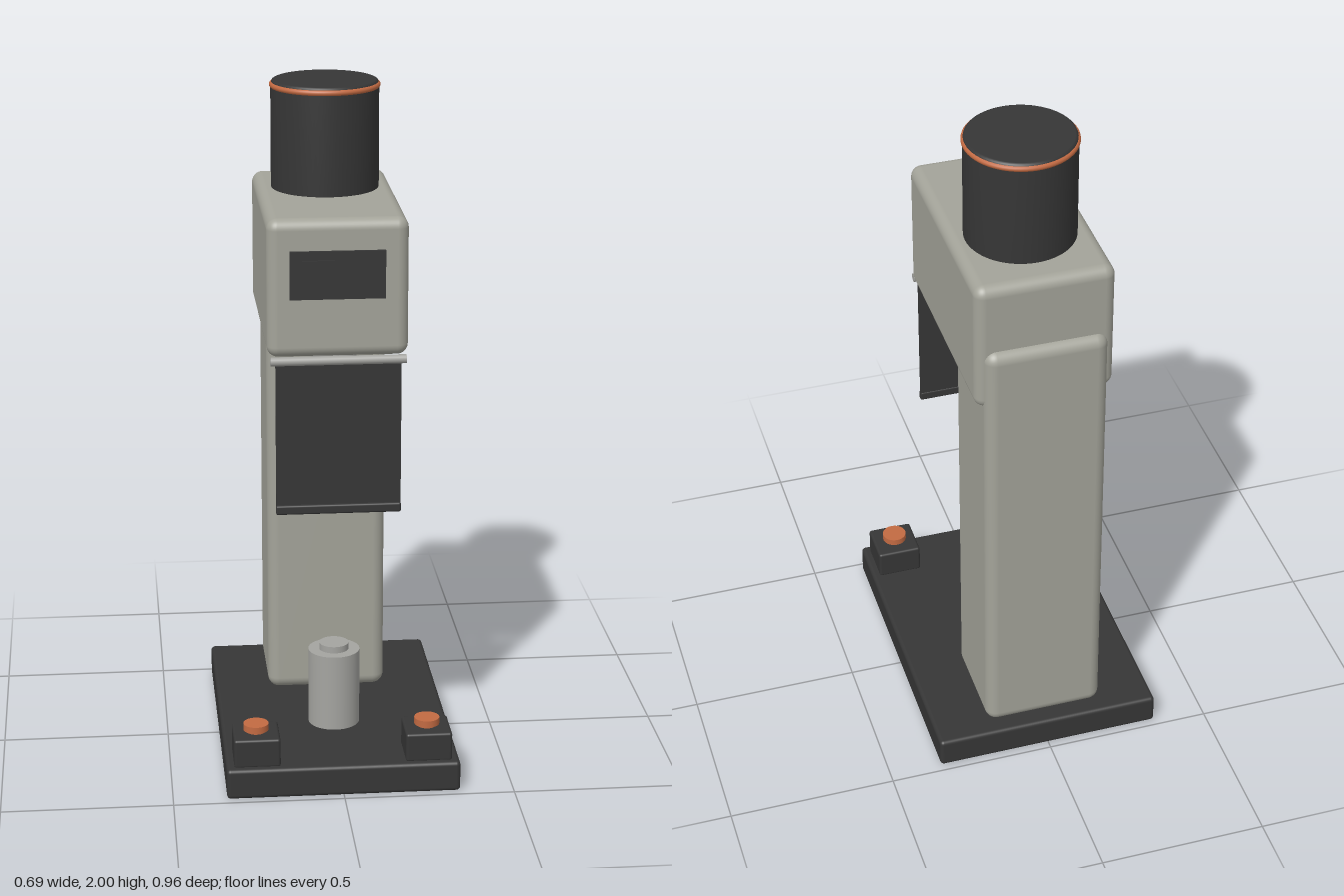
import * as THREE from 'three';
import { RoundedBoxGeometry } from 'three/addons/geometries/RoundedBoxGeometry.js';

export function createModel() {
  const model = new THREE.Group();
  model.name = 'benchPress';

  const mat = (name, color) => {
    const m = new THREE.MeshStandardMaterial({ color });
    m.name = name;
    return m;
  };
  const body = mat('warmGrey', 0xa3a399);
  const metal = mat('steelGrey', 0xa4a4a0);
  const dark = mat('charcoal', 0x363636);
  const orange = mat('copperOrange', 0xc26a42);

  const add = (name, geometry, material, x, y, z) => {
    const mesh = new THREE.Mesh(geometry, material);
    mesh.name = name;
    mesh.position.set(x, y, z);
    model.add(mesh);
    return mesh;
  };
  // Rounded box given by its lower and upper corners
  const box = (name, material, a, b, r) => add(name,
    new RoundedBoxGeometry(b[0] - a[0], b[1] - a[1], b[2] - a[2], 5, r), material,
    (a[0] + b[0]) / 2, (a[1] + b[1]) / 2, (a[2] + b[2]) / 2);
  // Upright cylinder or cone between two heights
  const post = (name, material, rTop, rBottom, y0, y1, x, z) => add(name,
    new THREE.CylinderGeometry(rTop, rBottom, y1 - y0, 48), material, x, (y0 + y1) / 2, z);
  // Horizontal rod along x
  const rod = (name, material, r, length, y, z) => {
    const g = new THREE.CylinderGeometry(r, r, length, 20).rotateZ(Math.PI / 2);
    return add(name, g, material, 0, y, z);
  };

  // Frame
  box('base', dark, [-0.343, 0, -0.48], [0.343, 0.092, 0.48], 0.012);
  box('column', body, [-0.18, 0.088, -0.435], [0.18, 1.47, -0.115], 0.035);
  box('head', body, [-0.203, 1.275, -0.41], [0.203, 1.68, 0.275], 0.032);

  // Motor housing with softened edges and a coloured trim ring
  const motorZ = -0.163;
  const profile = [[0, 1.675], [0.155, 1.675], [0.16, 1.682], [0.16, 1.988], [0.156, 1.997], [0.15, 2], [0, 2]]
    .map(([r, y]) => new THREE.Vector2(r, y));
  add('motor', new THREE.LatheGeometry(profile, 64), dark, 0, 0, motorZ);
  add('motorRing', new THREE.TorusGeometry(0.155, 0.009, 12, 64).rotateX(Math.PI / 2), orange, 0, 1.985, motorZ);

  // Display on the front of the head
  add('screen', new THREE.BoxGeometry(0.274, 0.14, 0.009), dark, -0.002, 1.52, 0.279);
  add('screenTab', new THREE.BoxGeometry(0.093, 0.036, 0.006), dark, -0.058, 1.546, 0.286);

  // Hanging safety shield
  rod('shieldRod', metal, 0.013, 0.39, 1.27, 0.283);
  add('shield', new THREE.BoxGeometry(0.362, 0.45, 0.008), dark, 0, 1.04, 0.283);
  box('shieldLip', dark, [-0.182, 0.81, 0.277], [0.182, 0.838, 0.296], 0.006);

  // Spindle and tip
  const toolZ = 0.14;
  post('spindle', metal, 0.066, 0.066, 1.08, 1.29, 0, toolZ);
  post('spindleRing', dark, 0.071, 0.071, 1.064, 1.084, 0, toolZ);
  post('spindleCollar', metal, 0.069, 0.069, 1.018, 1.064, 0, toolZ);
  post('collet', metal, 0.034, 0.034, 0.95, 1.02, 0, toolZ);
  post('tip', orange, 0.029, 0.012, 0.902, 0.951, 0, toolZ);

  // Anvil
  post('anvil', metal, 0.077, 0.077, 0.088, 0.326, 0, toolZ);
  post('anvilCap', metal, 0.044, 0.044, 0.32, 0.346, 0, toolZ);

  // Push buttons on both front corners
  for (const side of [-1, 1]) {
    const x = side * 0.252, z = 0.39;
    box('buttonBox', dark, [x - 0.068, 0.088, z - 0.068], [x + 0.068, 0.176, z + 0.068], 0.008);
    post('buttonStem', orange, 0.028, 0.028, 0.17, 0.185, x, z);
    post('buttonCap', orange, 0.037, 0.037, 0.182, 0.202, x, z);
  }
  return model;
}
